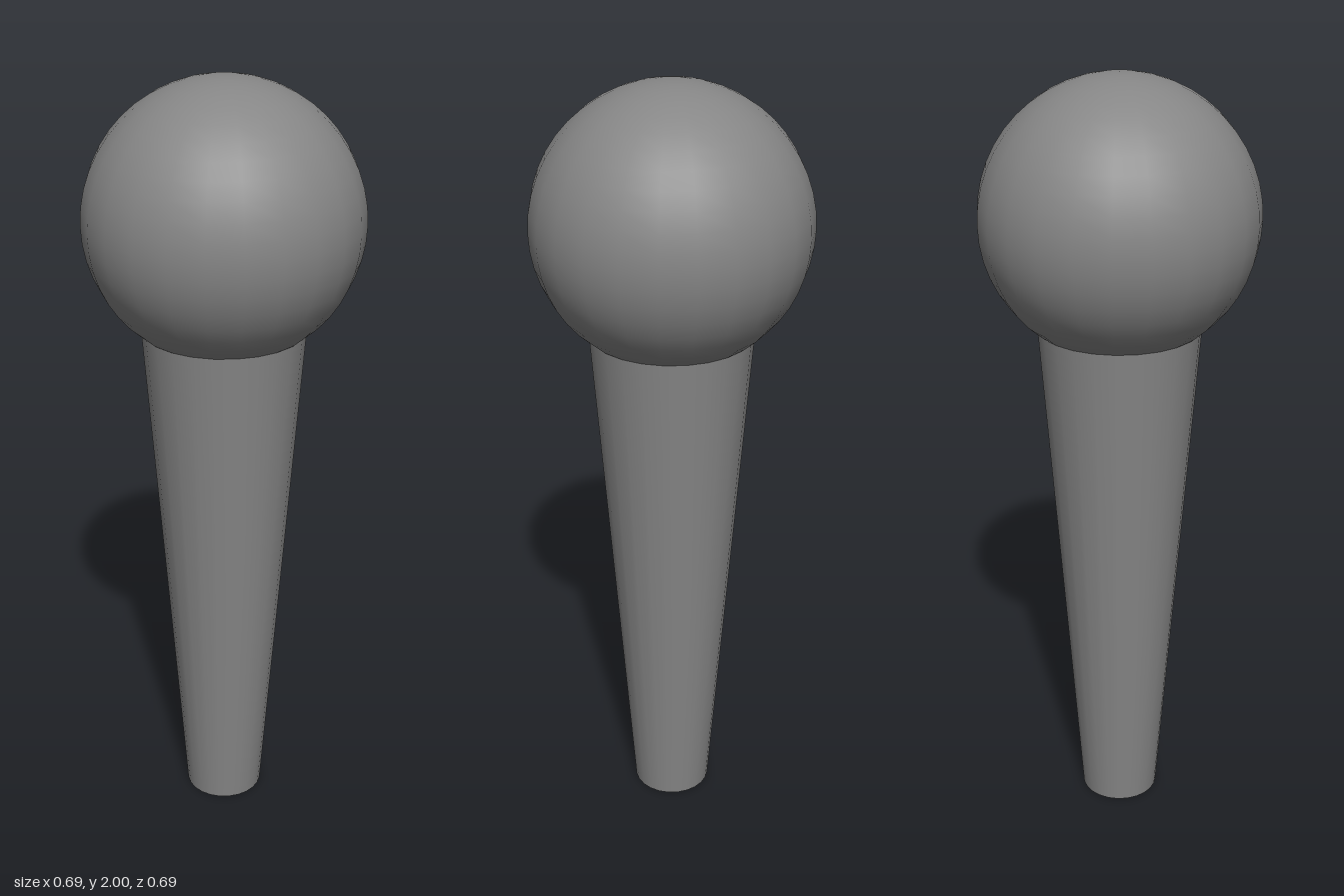
import * as THREE from 'three';

export function createModel() {
  const group = new THREE.Group();
  const material = new THREE.MeshStandardMaterial({ color: 0x868686 });
  const handleHeight = 1.378;
  const headRadius = 0.3465;

  const add = (name, geometry, y) => {
    const mesh = new THREE.Mesh(geometry, material);
    mesh.name = name;
    mesh.position.y = y;
    group.add(mesh);
  };

  // Tapered handle, wider at the top
  add('handle', new THREE.CylinderGeometry(0.207, 0.1035, handleHeight, 24), handleHeight / 2);

  // Ball head, seated on the rim of the handle
  add('head', new THREE.SphereGeometry(headRadius, 24, 24), 2 - headRadius);

  return group;
}
